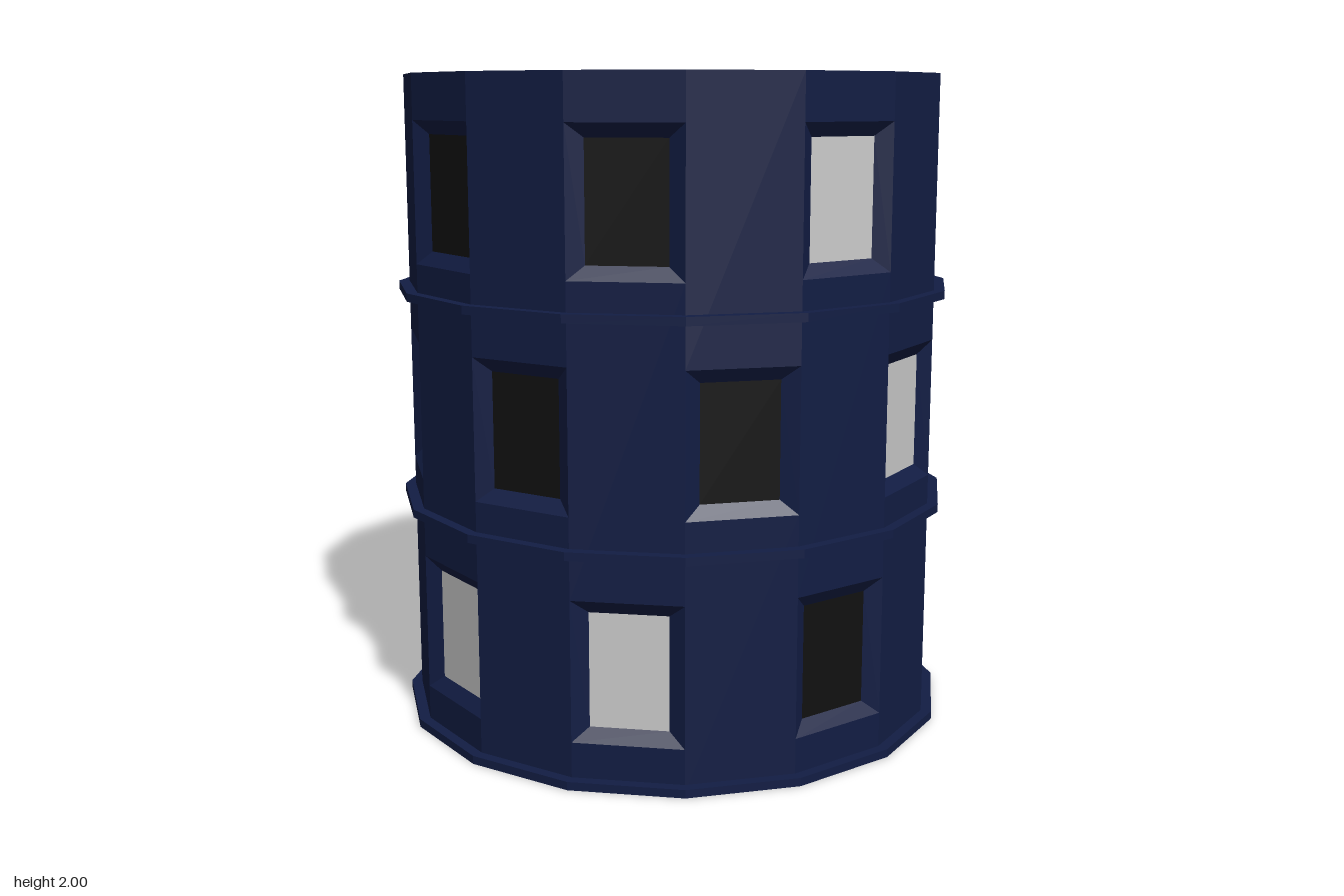
import * as THREE from 'three';

const SIDES = 16, RADIUS = 0.835, RING_RADIUS = 0.868, HEIGHT = 2;
const STEP = (Math.PI * 2) / SIDES;
const APOTHEM = RADIUS * Math.cos(STEP / 2);
const HALF_FACE = RADIUS * Math.sin(STEP / 2);
const PANE_DIST = 0.79, PANE_HALF_W = 0.115, PANE_HALF_H = 0.17, OPENING_HALF_H = 0.21;

// Window rows: height of centre, first facet used, and which facets are lit
const ROWS = [
  { y: 0.34, first: 0, lit: [0, 8, 10, 14] },
  { y: 1.0, first: 1, lit: [3, 7, 13] },
  { y: 1.655, first: 0, lit: [2, 4, 8, 10, 12] },
];

// Point on facet k: s along the facet, y up, d out from the axis
function facetPoint(k, s, y, d) {
  const a = (k + 0.5) * STEP;
  return [d * Math.sin(a) + s * Math.cos(a), y, d * Math.cos(a) - s * Math.sin(a)];
}

// Corners of an upright rectangle on a facet, counter-clockwise from outside
function rect(k, halfW, y0, y1, d) {
  return [
    facetPoint(k, -halfW, y0, d), facetPoint(k, halfW, y0, d),
    facetPoint(k, halfW, y1, d), facetPoint(k, -halfW, y1, d),
  ];
}

function quadGeometry(quads) {
  const pos = [];
  for (const [a, b, c, d] of quads) pos.push(...a, ...b, ...c, ...a, ...c, ...d);
  const g = new THREE.BufferGeometry();
  g.setAttribute('position', new THREE.Float32BufferAttribute(pos, 3));
  g.computeVertexNormals();
  return g;
}

export function createModel() {
  const group = new THREE.Group();
  const navy = new THREE.MeshStandardMaterial({ color: 0x121d44, flatShading: true });
  const dark = new THREE.MeshStandardMaterial({ color: 0x111111 });
  const light = new THREE.MeshStandardMaterial({ color: 0xcccccc });
  const add = (name, geometry, material, y = 0) => {
    const mesh = new THREE.Mesh(geometry, material);
    mesh.name = name;
    mesh.position.y = y;
    group.add(mesh);
    return mesh;
  };

  // Facets: wall strips between openings, sloped reveals and recessed panes
  const walls = [], reveals = [], litPanes = [], darkPanes = [];
  for (let k = 0; k < SIDES; k++) {
    let y = 0;
    for (const row of ROWS) {
      if (k % 2 !== row.first) continue;
      const bottom = row.y - OPENING_HALF_H, top = row.y + OPENING_HALF_H;
      walls.push(rect(k, HALF_FACE, y, bottom, APOTHEM));
      const outer = rect(k, HALF_FACE, bottom, top, APOTHEM);
      const inner = rect(k, PANE_HALF_W, row.y - PANE_HALF_H, row.y + PANE_HALF_H, PANE_DIST);
      for (let i = 0; i < 4; i++) {
        const j = (i + 1) % 4;
        reveals.push([outer[i], outer[j], inner[j], inner[i]]);
      }
      (row.lit.includes(k) ? litPanes : darkPanes).push(inner);
      y = top;
    }
    walls.push(rect(k, HALF_FACE, y, HEIGHT, APOTHEM));
  }
  add('walls', quadGeometry(walls), navy);
  add('windowReveals', quadGeometry(reveals), navy);
  add('litWindows', quadGeometry(litPanes), light);
  add('darkWindows', quadGeometry(darkPanes), dark);

  // Flat roof
  add('roof', new THREE.CircleGeometry(RADIUS, SIDES).rotateX(-Math.PI / 2), navy, HEIGHT);

  // Floor ledges, the lowest one closing the base
  for (const y of [0.0125, 0.6875, 1.3475]) {
    add('ledge', new THREE.CylinderGeometry(RING_RADIUS, RING_RADIUS, 0.025, SIDES), navy, y);
  }
  return group;
}
